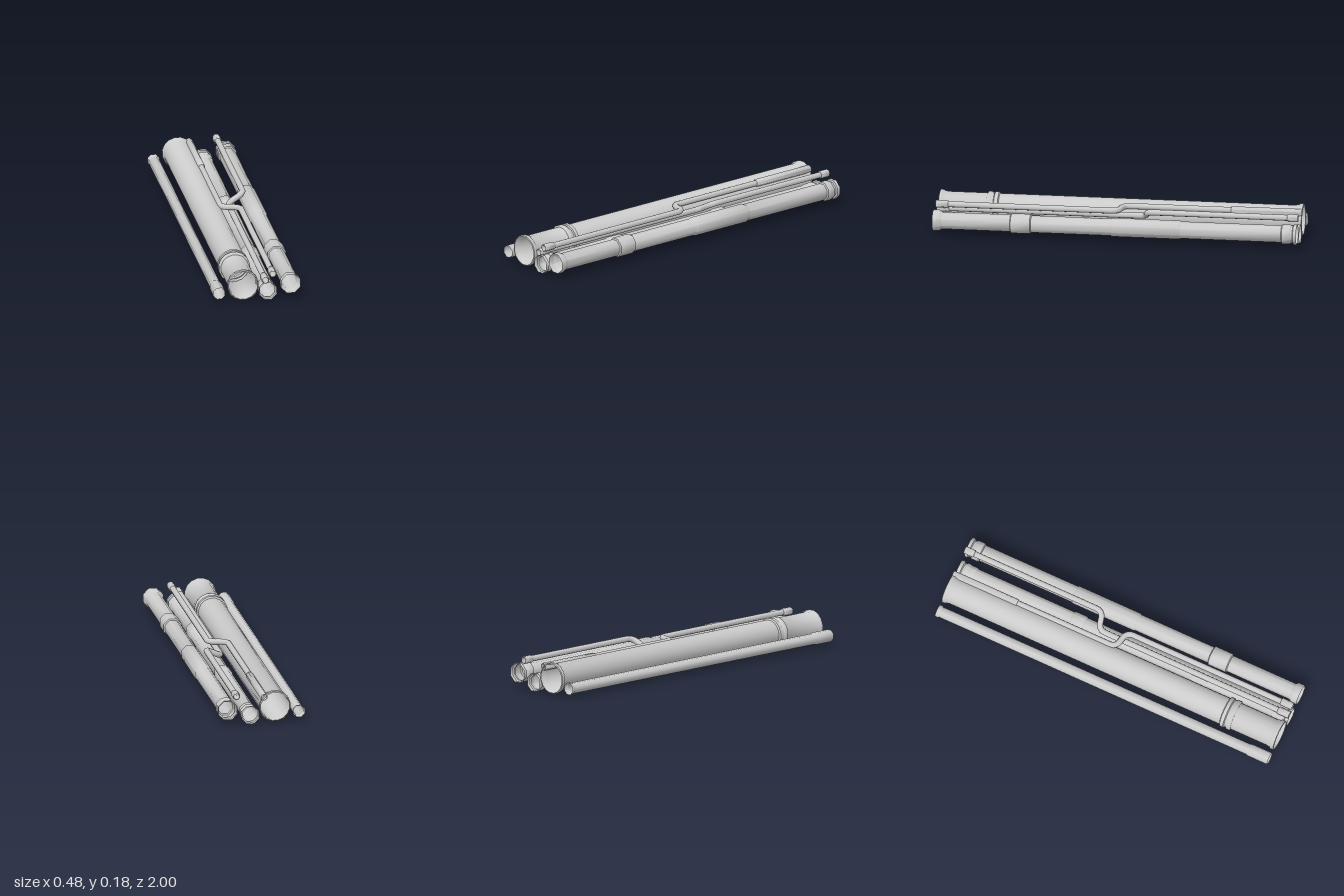
import * as THREE from 'three';
import { toCreasedNormals } from 'three/addons/utils/BufferGeometryUtils.js';

const material = new THREE.MeshStandardMaterial({ color: 0xcccccc, side: THREE.DoubleSide });

// Open pipe along z. Profile entries are [radius to the flat, z], from back to front.
function pipe(name, x, y, sides, profile) {
  const k = 1 / Math.cos(Math.PI / sides);
  const points = profile.map(([r, z]) => new THREE.Vector2(r * k, z));
  const geometry = new THREE.LatheGeometry(points, sides, Math.PI / sides);
  geometry.rotateX(Math.PI / 2);
  const mesh = new THREE.Mesh(toCreasedNormals(geometry, 0.9), material);
  mesh.name = name;
  mesh.position.set(x, y, 0);
  return mesh;
}

// Raised collar from z0 to z1 on a pipe of radius r, with slightly bevelled shoulders
function collar(r, R, z0, z1, bevel = 0.005) {
  return [[r, z0], [R, z0 + bevel], [R, z1 - bevel], [r, z1]];
}

// Thin bent pipe: straight runs joined by rounded corners
function bentPipe(name, corners, radius, bend) {
  const pts = corners.map((c) => new THREE.Vector3(...c));
  const path = new THREE.CurvePath();
  let start = pts[0];
  for (let i = 1; i < pts.length - 1; i++) {
    const toward = (p) => p.clone().sub(pts[i]).setLength(bend).add(pts[i]);
    const a = toward(pts[i - 1]);
    const b = toward(pts[i + 1]);
    path.add(new THREE.LineCurve3(start, a));
    path.add(new THREE.QuadraticBezierCurve3(a, pts[i], b));
    start = b;
  }
  path.add(new THREE.LineCurve3(start, pts[pts.length - 1]));
  const mesh = new THREE.Mesh(new THREE.TubeGeometry(path, 220, radius, 8), material);
  mesh.name = name;
  return mesh;
}

export function createModel() {
  const group = new THREE.Group();
  group.name = 'pipeBundle';

  // Narrow pipe with a long socket at the front
  group.add(pipe('narrowPipe', -0.21, 0.054, 8, [
    [0.032, -1], [0.032, -0.982], [0.027, -0.977], [0.027, -0.97], [0.028, -0.965],
    [0.028, 0.87], [0.032, 0.885], [0.032, 1],
  ]));

  // Main pipe: flanged ends and a double-ring joint
  const m = 0.076;
  group.add(pipe('mainPipe', -0.077, 0.092, 16, [
    [0.079, -1], [0.085, -0.997], [0.085, -0.978], [0.079, -0.972], [0.079, -0.962], [m, -0.957],
    ...collar(m, 0.085, 0.67, 0.7), [0.08, 0.7], [0.08, 0.708],
    ...collar(0.08, 0.085, 0.708, 0.737), [m, 0.737],
    [m, 0.957], [0.079, 0.962], [0.079, 0.972], [0.085, 0.978], [0.085, 0.997], [0.079, 1],
  ]));

  // Lower pipe: stepped sockets at both ends and two couplings
  const l = 0.039;
  group.add(pipe('lowerPipe', 0.06, 0.049, 8, [
    [0.048, -1], [0.048, -0.98], [0.041, -0.975], [0.041, -0.968],
    [0.046, -0.963], [0.046, -0.945], [0.043, -0.94], [0.043, -0.905], [l, -0.9],
    ...collar(l, 0.044, -0.32, -0.24), ...collar(l, 0.044, 0.41, 0.51),
    [l, 0.9], [0.043, 0.905], [0.043, 0.94], [0.046, 0.945], [0.046, 0.963],
    [0.041, 0.968], [0.041, 0.975], [0.048, 0.98], [0.048, 1],
  ]));

  // Side pipe: wide sleeve in the middle, a coupling and a stepped back end
  const s = 0.043;
  group.add(pipe('sidePipe', 0.186, 0.084, 8, [
    [0.052, -1], [0.052, -0.982], [0.044, -0.977], [0.044, -0.968],
    [0.05, -0.963], [0.05, -0.92], [s, -0.915],
    ...collar(s, 0.047, -0.36, 0.02), ...collar(s, 0.05, 0.46, 0.575),
    [s, 0.95], [0.053, 0.965], [0.053, 1],
  ]));

  // Two bent conduits crossing over the larger pipes
  group.add(bentPipe('leftConduit', [
    [-0.015, 0.148, -1], [-0.015, 0.148, -0.02], [0.087, 0.148, 0], [0.087, 0.148, 1],
  ], 0.017, 0.04));
  group.add(bentPipe('rightConduit', [
    [0.137, 0.162, -1], [0.137, 0.162, -0.17], [0.046, 0.114, -0.15], [0.046, 0.114, 1],
  ], 0.017, 0.04));

  // Sleeves on the conduits
  const sleeves = [
    [-0.015, 0.148, -1, -0.61], [0.087, 0.148, 0.93, 1],
    [0.137, 0.162, -1, -0.94], [0.046, 0.114, 0.93, 1],
  ];
  for (const [x, y, z0, z1] of sleeves) {
    group.add(pipe('conduitSleeve', x, y, 8, collar(0.016, 0.0195, z0, z1, 0.003)));
  }
  return group;
}
